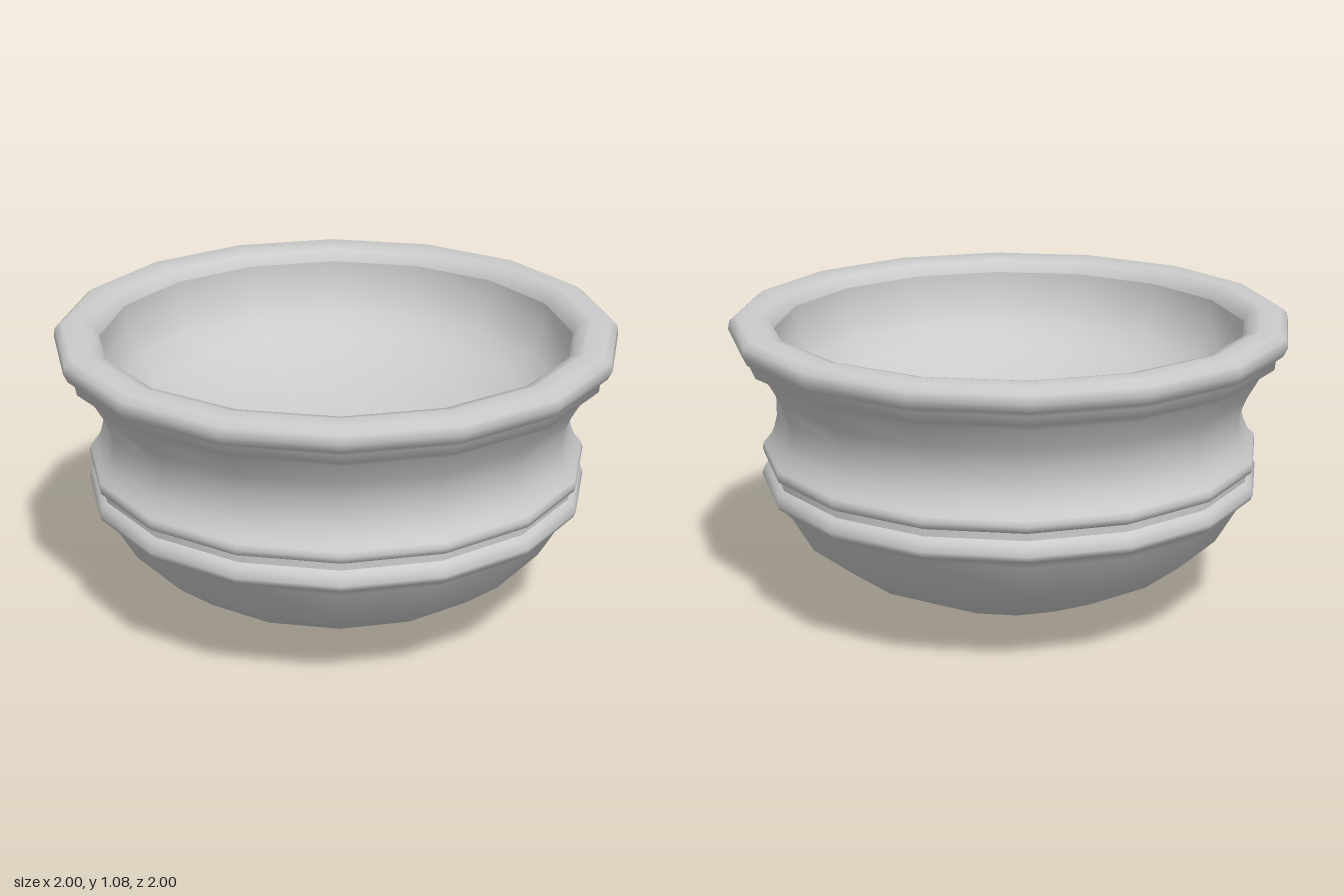
import * as THREE from 'three';

const SIDES = 16;
const material = new THREE.MeshStandardMaterial({ color: 0xcccccc, side: THREE.DoubleSide });

// Turned part from [radius, height] pairs; normals on the axis point straight up or down
function turned(name, profile) {
  const points = profile.map(([r, y]) => new THREE.Vector2(r, y));
  const geometry = new THREE.LatheGeometry(points, SIDES);
  const { position, normal } = geometry.attributes;
  for (let i = 0; i < position.count; i++) {
    if (Math.hypot(position.getX(i), position.getZ(i)) < 1e-6) normal.setXYZ(i, 0, Math.sign(normal.getY(i)), 0);
  }
  const mesh = new THREE.Mesh(geometry, material);
  mesh.name = name;
  return mesh;
}

export function createModel() {
  const group = new THREE.Group();
  group.name = 'bowl';

  // Rounded underside flowing into the lower bead
  group.add(turned('base', [
    [0, 0], [0.36, 0.06], [0.63, 0.19], [0.77, 0.3], [0.845, 0.43], [0.875, 0.46],
    [0.892, 0.47], [0.9, 0.49], [0.89, 0.52], [0.87, 0.535],
  ]));

  // Narrow groove between the beads
  group.add(turned('groove', [[0.87, 0.535], [0.87, 0.56]]));

  // Upper bead, concave waist and stepped, rolled rim
  group.add(turned('waistAndRim', [
    [0.87, 0.56], [0.89, 0.57], [0.895, 0.59], [0.89, 0.61], [0.87, 0.625], [0.85, 0.67],
    [0.84, 0.71], [0.84, 0.775], [0.865, 0.84], [0.91, 0.92], [0.93, 0.945],
    [0.957, 0.95], [0.96, 0.98], [0.985, 1.0], [1, 1.03], [0.995, 1.06],
    [0.97, 1.08], [0.9, 1.08], [0.86, 1.07], [0.84, 1.03],
  ]));

  // Short inner wall and shallow dished floor
  group.add(turned('inside', [
    [0.84, 1.03], [0.835, 0.94], [0.785, 0.84], [0.7, 0.775], [0.55, 0.7], [0.3, 0.63], [0, 0.6],
  ]));

  return group;
}
